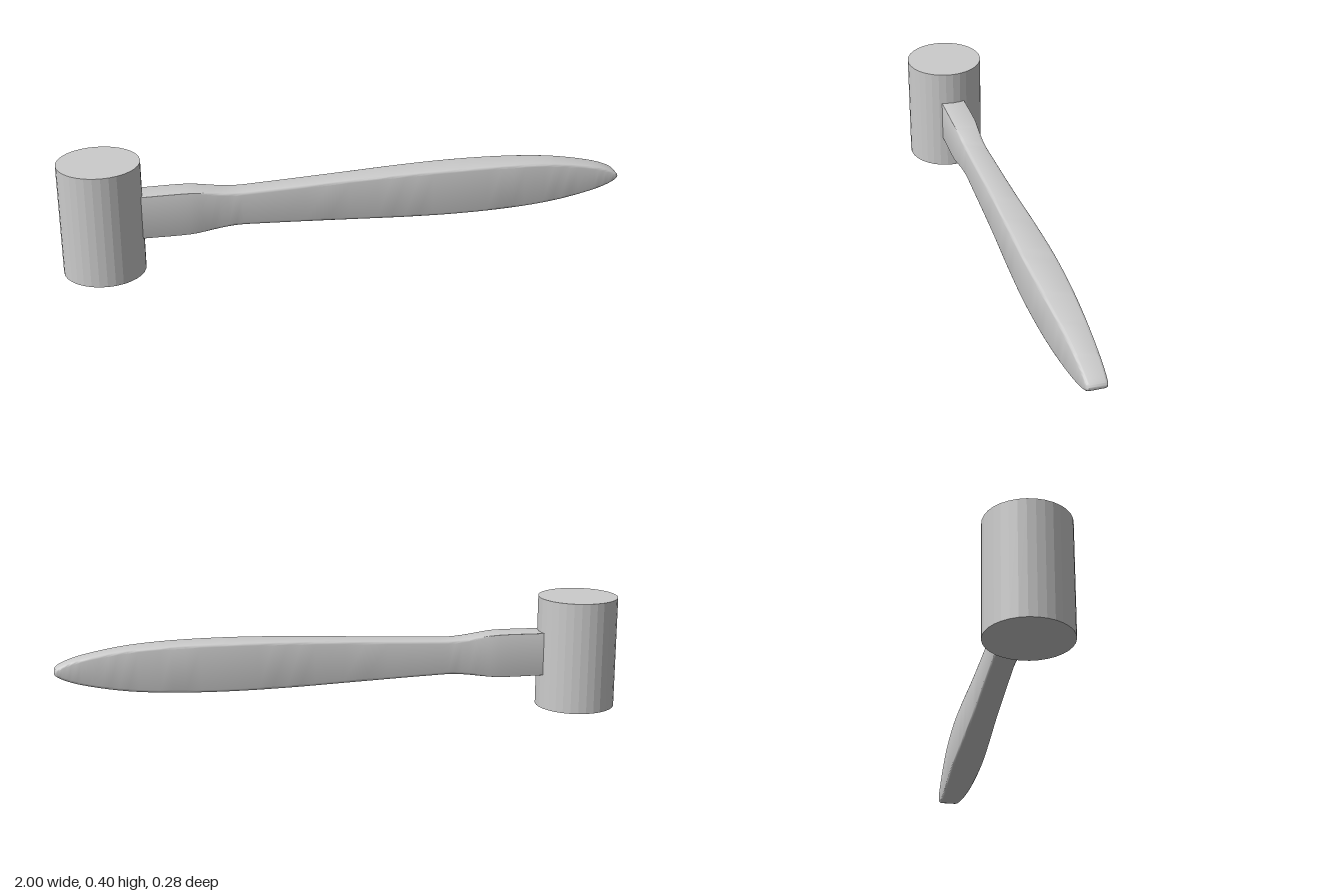
import * as THREE from 'three';
import { toCreasedNormals } from 'three/addons/utils/BufferGeometryUtils.js';

const MID = 0.2; // height of the handle axis

// Handle stations: x, half height, half width
const STATIONS = [
  [-0.84, 0.077, 0.044], [-0.72, 0.077, 0.044], [-0.56, 0.077, 0.044], [-0.5, 0.072, 0.042],
  [-0.4, 0.062, 0.04], [-0.3, 0.064, 0.041], [0, 0.076, 0.045], [0.2, 0.083, 0.051],
  [0.4, 0.086, 0.055], [0.6, 0.083, 0.052], [0.75, 0.073, 0.046], [0.87, 0.054, 0.041],
  [0.94, 0.037, 0.038], [0.98, 0.021, 0.036], [0.995, 0.011, 0.034], [1, 0.004, 0.029],
];

// Rectangle with rounded corners in the yz plane, as [y, z] points
function section(h, w, bevel, steps = 3) {
  const pts = [];
  const b = Math.min(bevel, h * 0.8);
  for (let c = 0; c < 4; c++) {
    const sy = c === 0 || c === 3 ? 1 : -1;
    const sz = c < 2 ? 1 : -1;
    for (let i = 0; i <= steps; i++) {
      const t = (i / steps) * Math.PI / 2;
      const a = c % 2 === 0 ? t : Math.PI / 2 - t;
      pts.push([MID + sy * (h - b + b * Math.cos(a)), sz * (w - b + b * Math.sin(a))]);
    }
  }
  return pts;
}

function handleGeometry() {
  const curve = new THREE.CatmullRomCurve3(STATIONS.map((s) => new THREE.Vector3(...s)));
  const n = 60, pos = [], index = [];
  let ring = 0;
  for (let i = 0; i <= n; i++) {
    const p = curve.getPoint(i / n);
    // corners start sharp at the head and become rounded along the grip
    const bevel = 0.0005 + 0.0095 * THREE.MathUtils.smoothstep(p.x, -0.56, -0.44);
    const pts = section(p.y, p.z, bevel);
    ring = pts.length;
    for (const [y, z] of pts) pos.push(p.x, y, z);
  }
  for (let i = 0; i < n; i++) {
    for (let j = 0; j < ring; j++) {
      const a = i * ring + j, b = i * ring + (j + 1) % ring;
      index.push(a, b, a + ring, b, b + ring, a + ring);
    }
  }
  // end caps
  const last = n * ring;
  for (let j = 1; j < ring - 1; j++) {
    index.push(0, j + 1, j);
    index.push(last, last + j, last + j + 1);
  }
  const g = new THREE.BufferGeometry();
  g.setAttribute('position', new THREE.Float32BufferAttribute(pos, 3));
  g.setIndex(index);
  // make sure the winding faces outward
  const [a, b, c] = [0, 1, 2].map((k) => new THREE.Vector3().fromArray(pos, index[k + 6 * 5] * 3));
  const normal = b.clone().sub(a).cross(c.sub(a));
  const outward = new THREE.Vector3(0, a.y - MID, a.z);
  if (normal.dot(outward) < 0) {
    for (let k = 0; k < index.length; k += 3) [index[k], index[k + 1]] = [index[k + 1], index[k]];
    g.setIndex(index);
  }
  // the caps follow the same rule as the sides
  return toCreasedNormals(g, 0.6);
}

export function createModel() {
  const model = new THREE.Group();
  model.name = 'mallet';

  // Upright faceted cylinder head
  const head = new THREE.Mesh(
    new THREE.CylinderGeometry(0.142, 0.142, 0.4, 32),
    new THREE.MeshStandardMaterial({ color: 0xcccccc, flatShading: true }),
  );
  head.name = 'head';
  head.position.set(-0.858, 0.2, 0);

  // Contoured handle, running into the head
  const handle = new THREE.Mesh(
    handleGeometry(),
    new THREE.MeshStandardMaterial({ color: 0xcccccc, side: THREE.DoubleSide }),
  );
  handle.name = 'handle';

  model.add(head, handle);
  return model;
}
